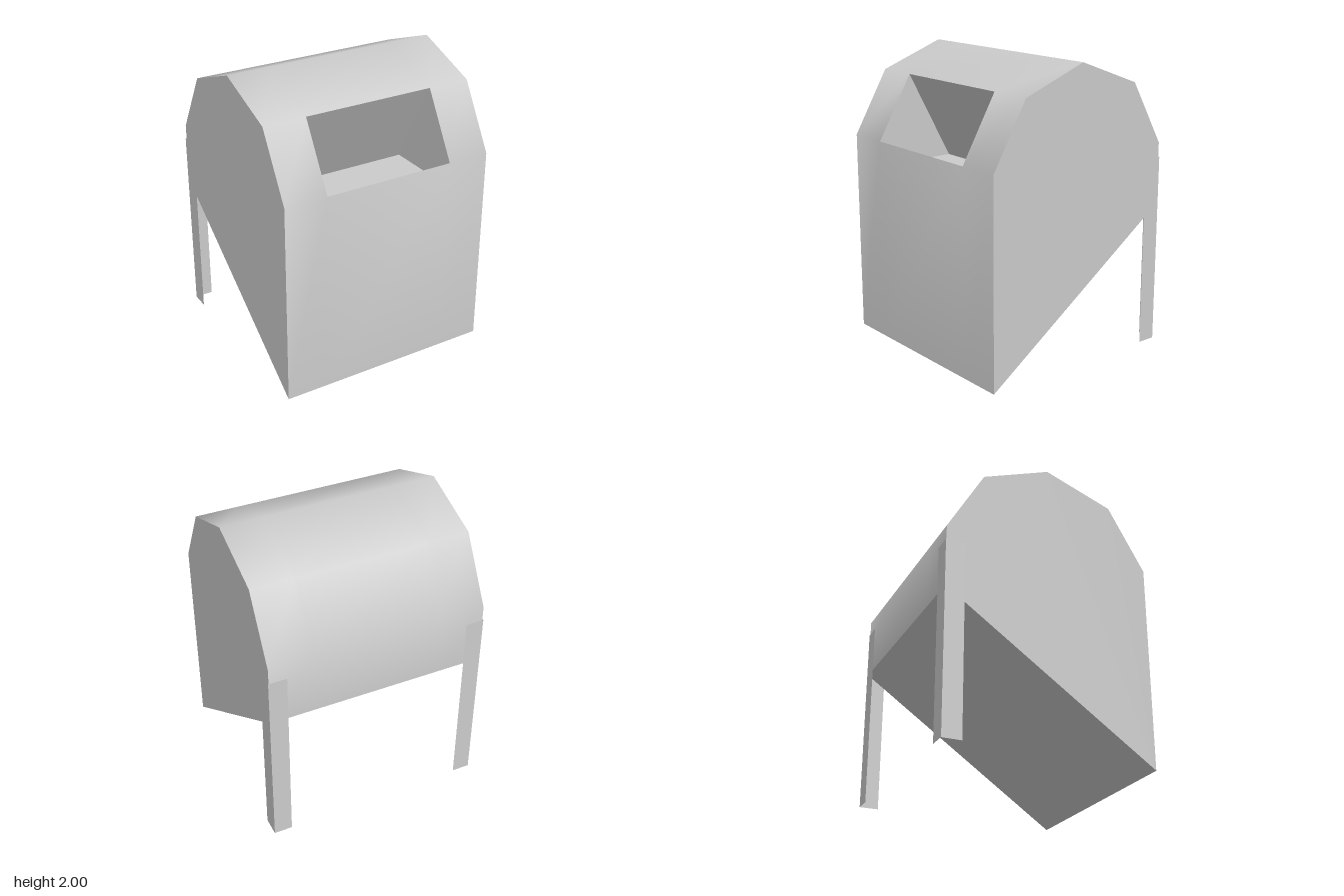
import * as THREE from 'three';
import { toCreasedNormals } from 'three/addons/utils/BufferGeometryUtils.js';

const material = new THREE.MeshStandardMaterial({ color: 0xcccccc });
const sheetMaterial = new THREE.MeshStandardMaterial({ color: 0xcccccc, side: THREE.DoubleSide });

const HALF = 0.75;     // half width of the body
const OPEN = 0.455;    // half width of the hatch
const COLUMNS = [-HALF, -OPEN, OPEN, HALF];

// Side outlines as [z, y]
const SHELL = [[0.71, 0], [0.71, 1.4], [0.46, 1.83], [0, 2], [-0.46, 1.83], [-0.71, 1.4], [-0.71, 0.98]];
const POCKET = [[0.71, 1.4], [0.705, 1.23], [0.14, 1.23], [0.46, 1.83]];

// Flat convex polygon, corners counter-clockwise seen from its front
function polygon(out, corners) {
  for (let i = 1; i < corners.length - 1; i++) out.push(...corners[0], ...corners[i], ...corners[i + 1]);
}

// Panel spanning x0..x1 between two outline points
function panel(out, x0, x1, [z0, y0], [z1, y1]) {
  polygon(out, [[x0, y0, z0], [x1, y0, z0], [x1, y1, z1], [x0, y1, z1]]);
}

// Outline filled at a given x
function cap(out, x, outline, reverse) {
  const corners = outline.map(([z, y]) => [x, y, z]);
  polygon(out, reverse ? corners.reverse() : corners);
}

function makeMesh(name, positions, mat = material) {
  const geometry = new THREE.BufferGeometry();
  geometry.setAttribute('position', new THREE.Float32BufferAttribute(positions, 3));
  const mesh = new THREE.Mesh(toCreasedNormals(geometry, THREE.MathUtils.degToRad(45)), mat);
  mesh.name = name;
  return mesh;
}

export function createModel() {
  const group = new THREE.Group();
  group.name = 'hoodedBin';

  // Body: front, rounded hood, back and sloping underside, leaving the hatch open
  const body = [];
  SHELL.forEach((p, i) => {
    const next = SHELL[(i + 1) % SHELL.length];
    for (let c = 0; c < 3; c++) {
      if (i === 1 && c === 1) continue;
      panel(body, COLUMNS[c], COLUMNS[c + 1], p, next);
    }
  });
  cap(body, -HALF, SHELL, false);
  cap(body, HALF, SHELL, true);
  group.add(makeMesh('body', body));

  // Hatch pocket: sunken floor with an overhanging rear wall
  const pocket = [];
  for (let i = 0; i < 3; i++) panel(pocket, -OPEN, OPEN, POCKET[i], POCKET[i + 1]);
  cap(pocket, -OPEN, POCKET, false);
  cap(pocket, OPEN, POCKET, true);
  group.add(makeMesh('hatchPocket', pocket));

  // Rear legs: thin angle strips wrapped around the back corners
  for (const side of [-1, 1]) {
    const outer = side * 0.755, inner = side * 0.63, back = -0.715, front = -0.585, top = 1.3;
    const leg = [];
    polygon(leg, [[outer, 0, back], [inner, 0, back], [inner, top, back], [outer, top, back]]);
    polygon(leg, [[outer, 0, front], [outer, 0, back], [outer, top, back], [outer, top, front]]);
    // Mirrored strip keeps its outer face forward
    if (side < 0) {
      for (let i = 0; i < leg.length; i += 9) {
        for (let k = 0; k < 3; k++) [leg[i + 3 + k], leg[i + 6 + k]] = [leg[i + 6 + k], leg[i + 3 + k]];
      }
    }
    group.add(makeMesh(side > 0 ? 'leftLeg' : 'rightLeg', leg, sheetMaterial));
  }

  return group;
}
